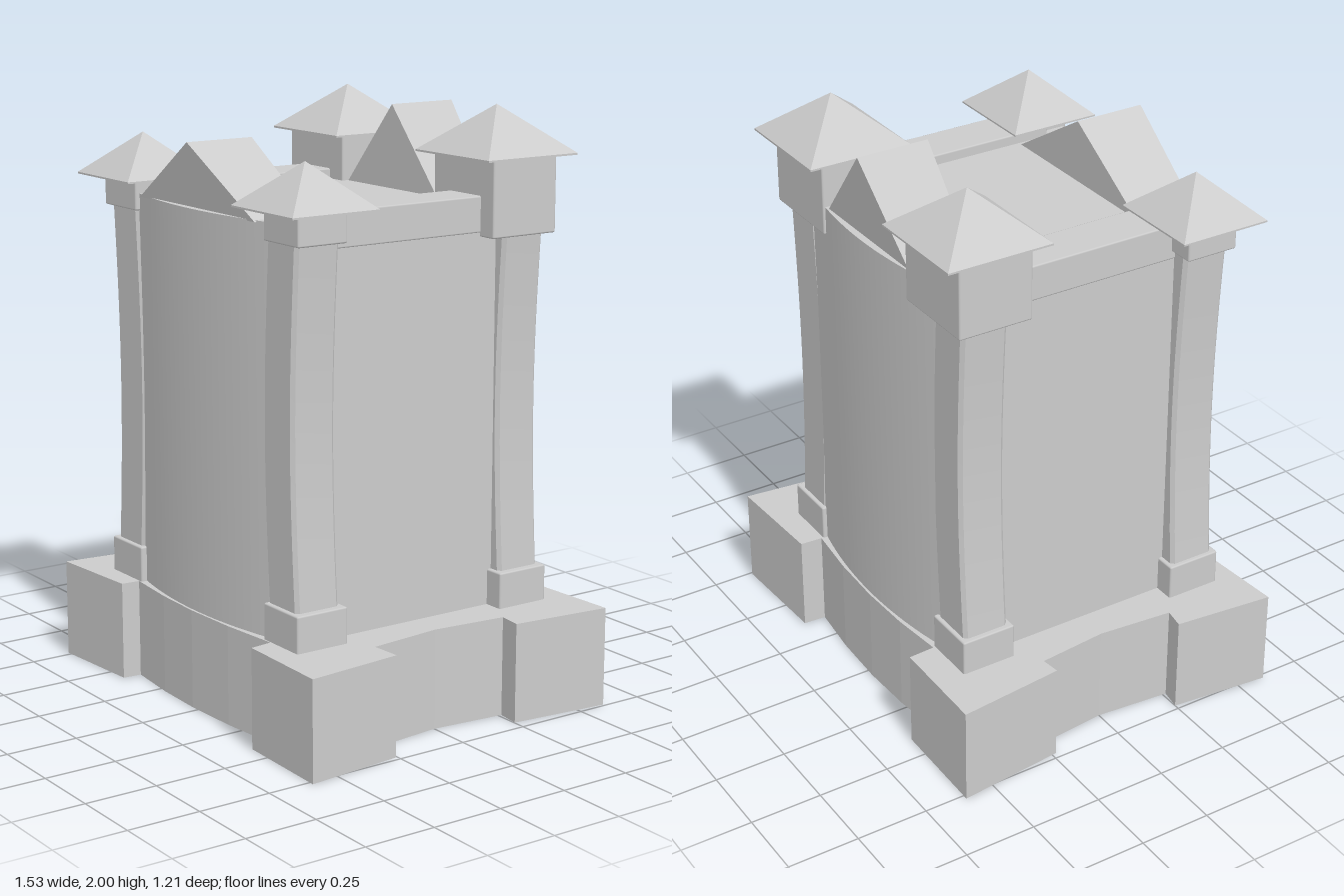
import * as THREE from 'three';
import { toCreasedNormals } from 'three/addons/utils/BufferGeometryUtils.js';
import { RoundedBoxGeometry } from 'three/addons/geometries/RoundedBoxGeometry.js';

const material = new THREE.MeshStandardMaterial({ color: 0xcccccc });

function add(parent, name, geometry) {
  const mesh = new THREE.Mesh(geometry, material);
  mesh.name = name;
  parent.add(mesh);
  return mesh;
}

// Upright prism from a plan outline of [x, z] points.
function prism(plan, y0, y1, steps = 1) {
  const shape = new THREE.Shape(plan.map(([x, z]) => new THREE.Vector2(x, -z)));
  const geometry = new THREE.ExtrudeGeometry(shape, { depth: y1 - y0, steps, bevelEnabled: false });
  return geometry.rotateX(-Math.PI / 2).translate(0, y0, 0);
}

// Softly edged block given by its limits.
function block(x0, x1, y0, y1, z0, z1) {
  return new RoundedBoxGeometry(x1 - x0, y1 - y0, z1 - z0, 1, 0.006)
    .translate((x0 + x1) / 2, (y0 + y1) / 2, (z0 + z1) / 2);
}

// Four-sided roof with a thin eave.
function pyramid(x0, x1, y0, y1, z0, z1) {
  const r = Math.SQRT1_2;
  const profile = [[0, 0], [r, 0], [r, 0.04], [0, 1]].map(([a, b]) => new THREE.Vector2(a, b));
  const geometry = new THREE.LatheGeometry(profile, 4).rotateY(Math.PI / 4)
    .scale(x1 - x0, y1 - y0, z1 - z0)
    .translate((x0 + x1) / 2, y0, (z0 + z1) / 2);
  return toCreasedNormals(geometry, 0.2);
}

// Chamfered post that bows towards the middle of the building.
function post(x, z, y0, y1) {
  const h = 0.082, c = 0.07;
  const plan = [[-h, c], [-c, h], [c, h], [h, c], [h, -c], [c, -h], [-c, -h], [-h, -c]];
  const geometry = prism(plan, y0, y1, 20);
  const p = geometry.attributes.position;
  for (let i = 0; i < p.count; i++) {
    const t = (p.getY(i) - y0) / (y1 - y0);
    p.setX(i, p.getX(i) + x - Math.sign(x) * 0.028 * Math.sin(Math.PI * t));
    p.setZ(i, p.getZ(i) + z);
  }
  return toCreasedNormals(geometry, 0.5);
}

// Triangular gable, its outer face bulging slightly at the ridge.
function gable(x, half, y0, y1, inner, outer) {
  const shape = new THREE.Shape();
  shape.moveTo(x - half, y0);
  shape.lineTo(x + half, y0);
  shape.lineTo(x, y1);
  shape.closePath();
  const z0 = Math.min(inner, outer), z1 = Math.max(inner, outer);
  const geometry = new THREE.ExtrudeGeometry(shape, { depth: z1 - z0, bevelEnabled: false }).translate(0, 0, z0);
  const p = geometry.attributes.position;
  for (let i = 0; i < p.count; i++) {
    if (Math.abs(p.getZ(i) - outer) < 0.001) {
      p.setZ(i, outer - Math.sign(outer) * 0.03 * Math.abs(p.getX(i) - x) / half);
    }
  }
  geometry.computeVertexNormals();
  return geometry;
}

export function createModel() {
  const group = new THREE.Group();

  // Plinth with four corner blocks, hollowed sides and bulging front and back
  const plinth = [
    [-0.767, 0.6], [-0.42, 0.575], [-0.415, 0.51], [-0.22, 0.53], [-0.03, 0.537], [0.18, 0.53], [0.4, 0.51],
    [0.41, 0.588], [0.767, 0.6], [0.732, 0.255], [0.627, 0.262], [0.598, 0], [0.623, -0.262], [0.705, -0.252],
    [0.742, -0.605], [0.365, -0.588], [0.36, -0.51], [0.17, -0.53], [-0.03, -0.537], [-0.22, -0.53],
    [-0.405, -0.51], [-0.41, -0.603], [-0.767, -0.608], [-0.728, -0.235], [-0.662, -0.243], [-0.637, 0],
    [-0.66, 0.262], [-0.732, 0.25],
  ];
  add(group, 'plinth', prism(plinth, 0, 0.34));

  // Main body, curved in plan at front and back
  const cx = -0.02, half = 0.5, n = 24, plan = [];
  for (const side of [1, -1]) {
    for (let i = 0; i <= n; i++) {
      const u = side * (2 * i / n - 1);
      plan.push([cx + half * u, side * (0.455 + 0.073 * (1 - u * u))]);
    }
  }
  add(group, 'body', toCreasedNormals(prism(plan, 0.33, 1.685), 0.4));

  // Raised parapets along both sides
  add(group, 'leftParapet', block(0.32, 0.483, 1.6, 1.72, -0.4, 0.4));
  add(group, 'rightParapet', block(-0.523, -0.36, 1.6, 1.72, -0.4, 0.4));

  // Gables
  add(group, 'frontGable', gable(-0.03, 0.345, 1.68, 1.897, 0.285, 0.533));
  add(group, 'backGable', gable(-0.03, 0.255, 1.68, 1.97, -0.28, -0.533));

  // Corner towers: foot, post, cap and roof
  const towers = [
    { name: 'frontLeft', x: 0.447, z: 0.41, foot: [0.358, 0.549],
      cap: [0.358, 0.549, 1.628, 1.735, 0.315, 0.5], roof: [0.284, 0.623, 1.73, 1.878, 0.247, 0.57] },
    { name: 'frontRight', x: -0.5, z: 0.41, foot: [-0.592, -0.402],
      cap: [-0.613, -0.411, 1.628, 1.735, 0.315, 0.5], roof: [-0.678, -0.345, 1.73, 1.878, 0.247, 0.567] },
    { name: 'backLeft', x: 0.447, z: -0.405, foot: [0.358, 0.549],
      cap: [0.236, 0.549, 1.587, 1.845, -0.517, -0.257], roof: [0.2, 0.583, 1.84, 2, -0.575, -0.207] },
    { name: 'backRight', x: -0.49, z: -0.405, foot: [-0.585, -0.395],
      cap: [-0.6, -0.285, 1.587, 1.845, -0.517, -0.257], roof: [-0.635, -0.25, 1.84, 2, -0.575, -0.207] },
  ];
  for (const t of towers) {
    const tower = new THREE.Group();
    tower.name = t.name + 'Tower';
    add(tower, 'foot', block(...t.foot, 0.33, 0.462, t.z - 0.097, t.z + 0.097));
    add(tower, 'post', post(t.x, t.z, 0.4, 1.66));
    add(tower, 'cap', block(...t.cap));
    add(tower, 'roof', pyramid(...t.roof));
    group.add(tower);
  }
  return group;
}
